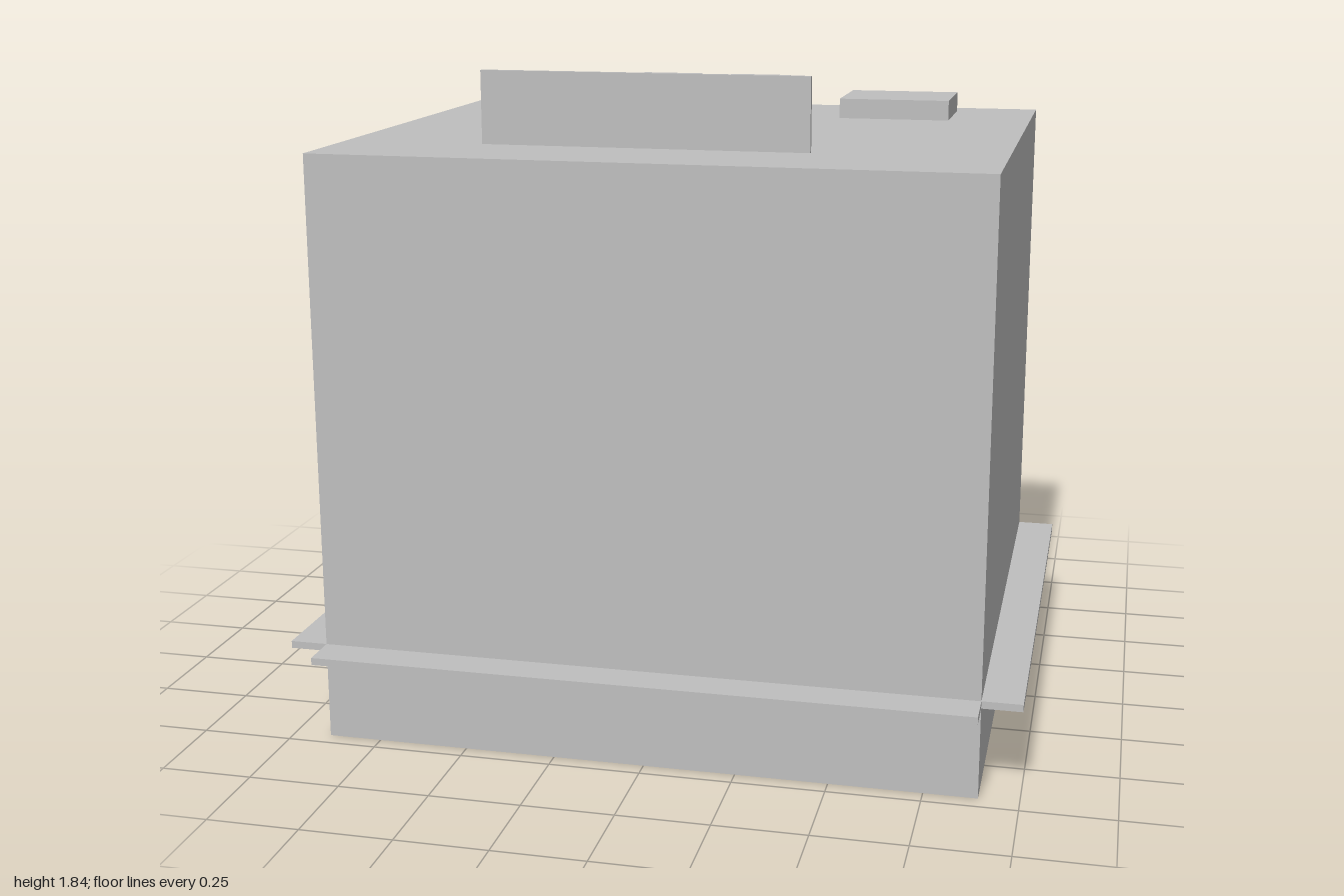
import * as THREE from 'three';

export function createModel() {
  const group = new THREE.Group();
  const grey = new THREE.MeshStandardMaterial({ color: 0xbfbfbf, side: THREE.DoubleSide });
  grey.name = 'concrete grey';

  // Box given by its lower and upper limits on each axis
  const block = (name, [x0, x1], [y0, y1], [z0, z1]) => {
    const mesh = new THREE.Mesh(new THREE.BoxGeometry(x1 - x0, y1 - y0, z1 - z0), grey);
    mesh.position.set((x0 + x1) / 2, (y0 + y1) / 2, (z0 + z1) / 2);
    mesh.name = name;
    group.add(mesh);
    return mesh;
  };

  const wallX = [-0.897, 0.893], wallZ = [-0.807, 0.703], roof = 1.622;

  // Building shell, open underneath: drop the six indices of the bottom face
  const shell = block('buildingShell', wallX, [0, roof], wallZ);
  const index = Array.from(shell.geometry.index.array);
  index.splice(18, 6);
  shell.geometry.setIndex(index);
  shell.geometry.clearGroups();

  // Thin canopies along the front and both sides
  const canopyY = [0.25, 0.27];
  block('frontCanopy', wallX, canopyY, [wallZ[1], 0.807]);
  block('rightCanopy', [-1, wallX[0]], canopyY, wallZ);
  block('leftCanopy', [wallX[1], 1], canopyY, wallZ);

  // Free-standing sign panel above the front of the roof
  block('signPanel', [-0.428, 0.422], [1.652, 1.84], [0.632, 0.646]);

  // Roof units along the back
  block('wideRoofUnitRight', [-0.755, -0.475], [roof, 1.68], [-0.71, -0.385]);
  block('wideRoofUnitLeft', [0.33, 0.656], [roof, 1.68], [-0.71, -0.433]);
  for (const [name, x] of [['smallRoofUnitRight', -0.333], ['smallRoofUnitLeft', -0.05]]) {
    block(name, [x, x + 0.188], [roof, 1.727], [-0.667, -0.528]);
  }

  return group;
}
